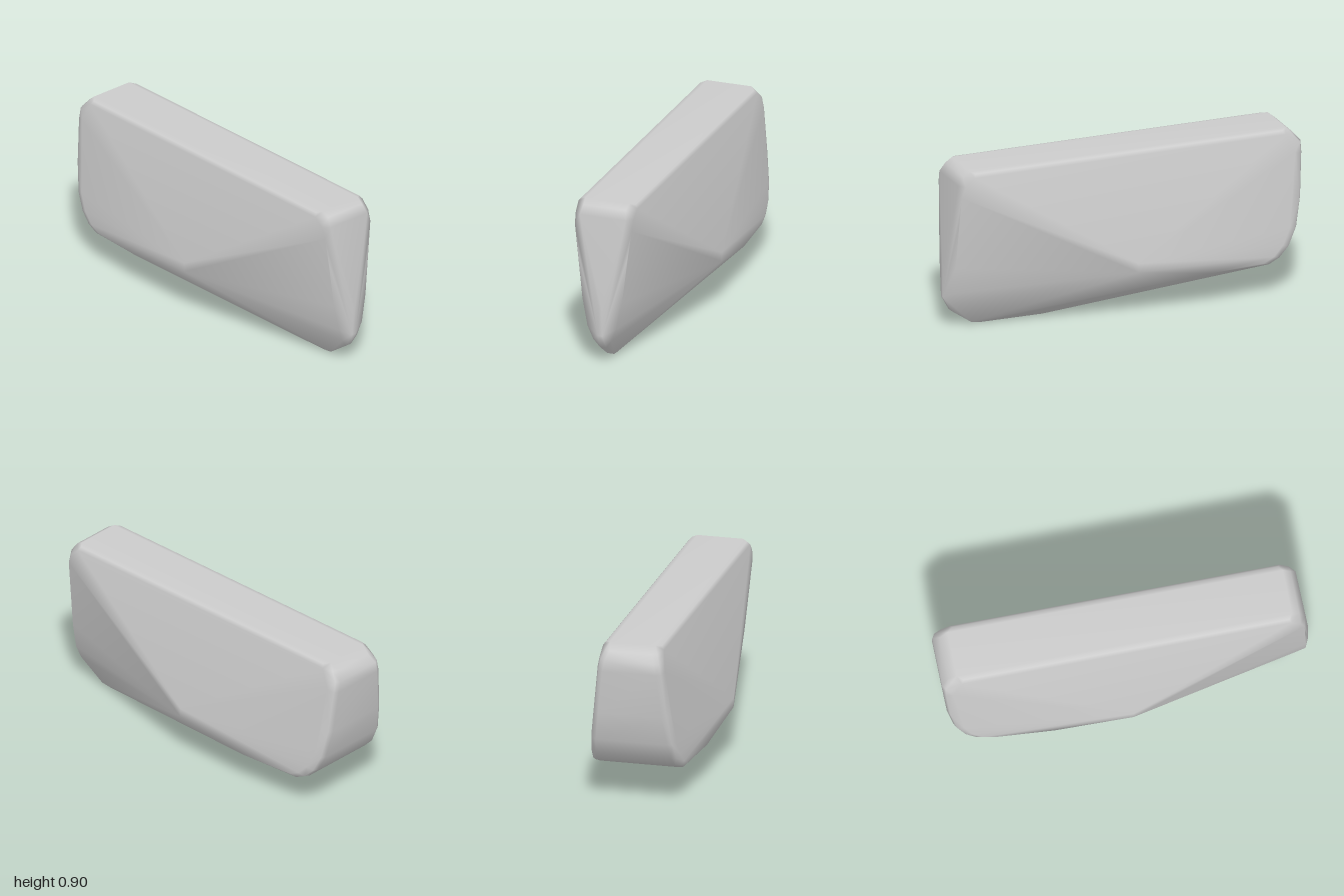
import * as THREE from 'three';
import { ConvexGeometry } from 'three/addons/geometries/ConvexGeometry.js';
import { mergeVertices } from 'three/addons/utils/BufferGeometryUtils.js';

export function createModel() {
  const points = [];
  // Adds a point and its mirror image
  const pair = (x, y, z) => points.push(new THREE.Vector3(x, y, z), new THREE.Vector3(-x, y, z));

  // Flat top with a softened rim, rounded off at both ends
  for (const [z, edgeZ, rimZ] of [[0.89, 0.87, 0.88], [-0.92, -0.89, -0.9]]) {
    pair(0.125, 0.9, z);
    pair(0.152, 0.893, edgeZ);
    pair(0.167, 0.875, rimZ);
  }

  // Front corners: half width, height, depth, curving in from the top to the nose
  const frontCorner = [
    [0.12, 0.876, 0.93], [0.13, 0.83, 0.96], [0.164, 0.83, 0.93], [0.161, 0.77, 0.951],
    [0.14, 0.62, 0.958], [0.112, 0.36, 0.967], [0.082, 0.21, 0.972], [0.052, 0.135, 0.965],
  ];
  frontCorner.forEach((p) => pair(...p));

  // Narrow nose curving down into the keel
  const nose = [
    [0.008, 0.33, 1], [0.012, 0.17, 1], [0.018, 0.09, 0.955],
    [0.02, 0.012, 0.84], [0.015, 0.002, 0.78], [0.015, 0, 0.43],
  ];
  nose.forEach((p) => pair(...p));

  // Widest point of the flanks and the lower edge behind it
  pair(0.309, 0.32, 0);
  pair(0.309, 0.27, 0);
  pair(0.275, 0.195, -0.42);

  // Rounded tail: half width, height, depth, with bevelled side edges
  const tail = [
    [0.152, 0.865, -0.963], [0.17, 0.82, -1], [0.182, 0.76, -1], [0.208, 0.52, -0.982],
    [0.23, 0.36, -0.95], [0.242, 0.27, -0.905], [0.248, 0.215, -0.85], [0.25, 0.186, -0.79],
  ];
  for (const [w, y, z] of tail) {
    pair(w - 0.035, y, z);
    pair(w - 0.01, y, z + 0.014);
    pair(w + 0.002, y + 0.012, z + 0.05);
  }

  // Smooth skin stretched over the points
  let skin = new ConvexGeometry(points);
  skin.deleteAttribute('normal');
  skin = mergeVertices(skin, 1e-4);
  skin.computeVertexNormals();

  const body = new THREE.Mesh(skin, new THREE.MeshStandardMaterial({ color: 0xcccccc }));
  body.name = 'body';
  const group = new THREE.Group();
  group.name = 'taperedBlock';
  group.add(body);
  return group;
}
